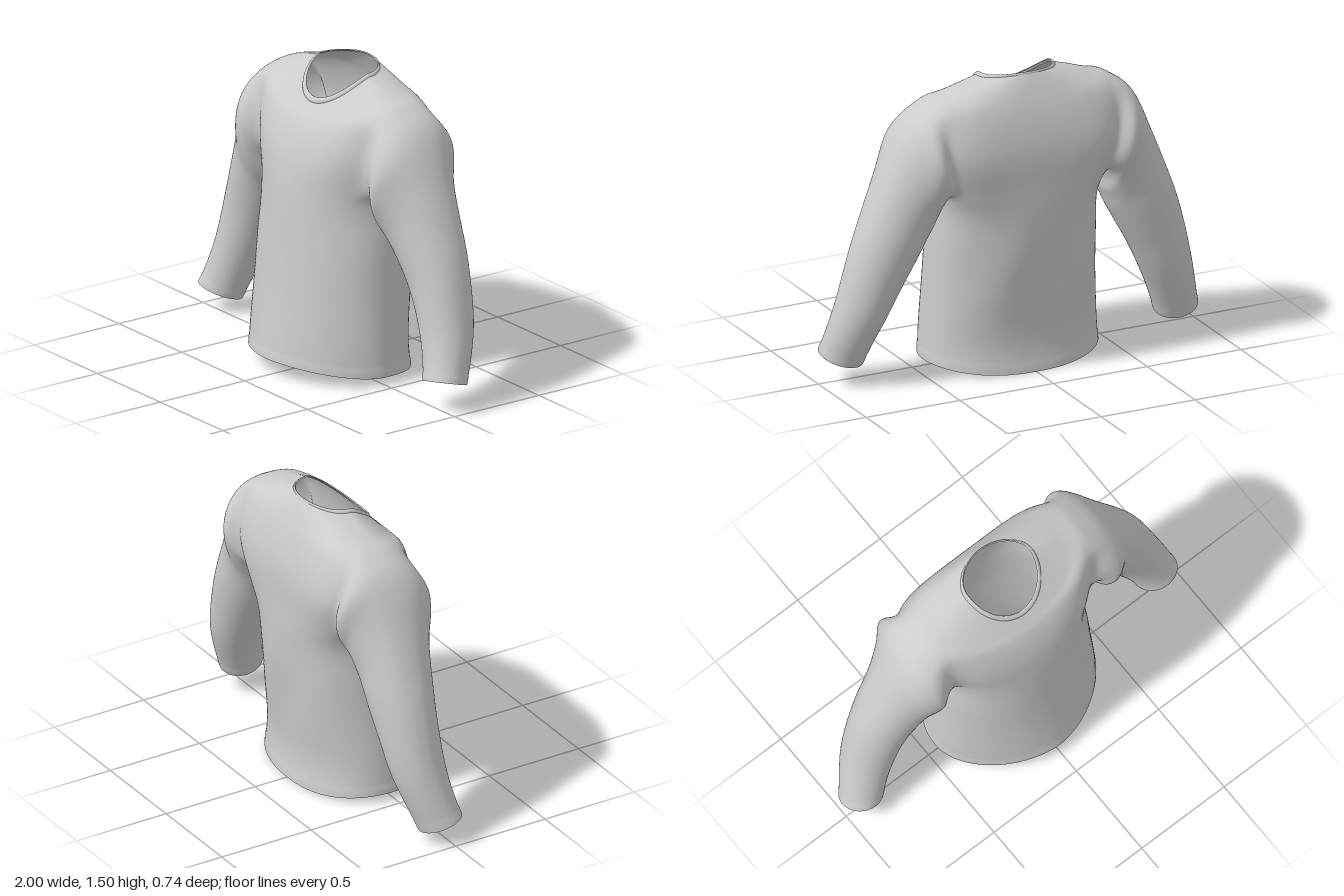
import * as THREE from 'three';

const cloth = new THREE.MeshStandardMaterial({ color: 0xcccccc, side: THREE.DoubleSide, roughness: 0.9 });
const V = (x, y, z) => new THREE.Vector3(x, y, z);
const power = (v, n) => Math.sign(v) * Math.pow(Math.abs(v), 2 / n);

// Body ring: half width, front z, back z, z of the widest point, heights at front / side / back,
// roundness of front and back, and how quickly the front drops
const bodyRing = ([w, zf, zb, zc, yf, ys, yb, nf = 2, nb = 2.3, drop = 2]) => (a) => {
  const c = Math.cos(a), s = Math.sin(a), n = s > 0 ? nf : nb;
  return V(w * power(c, n),
    ys + (s > 0 ? (yf - ys) * s ** drop : (yb - ys) * s * s),
    zc + (s > 0 ? zf - zc : zc - zb) * power(s, n));
};

// Sleeve ring: outer x, y, inner x, y, front z, back z, forward tilt
const sleevePoint = ([ox, oy, ix, iy, zf, zb, tilt = 0], side, a) => {
  const c = Math.cos(a), s = Math.sin(a);
  return V(side * ((ox + ix) / 2 + c * (ox - ix) / 2),
    (oy + iy) / 2 + c * (oy - iy) / 2 + s * tilt,
    (zf + zb) / 2 + s * (zf - zb) / 2);
};

const BODY = [ // hem up to the neck
  [0.45, 0.37, -0.32, 0, 0.085, 0.04, 0, 1.75],
  [0.445, 0.352, -0.306, 0, 0.2, 0.17, 0.15, 1.8],
  [0.43, 0.322, -0.33, -0.01, 0.4, 0.4, 0.4, 1.9],
  [0.42, 0.298, -0.355, -0.03, 0.62, 0.62, 0.62],
  [0.41, 0.282, -0.366, -0.05, 0.82, 0.82, 0.82, 2, 2.6],
  [0.425, 0.268, -0.368, -0.08, 0.95, 0.93, 0.95, 2.1, 3.4],
  [0.46, 0.238, -0.368, -0.09, 1.1, 1.1, 1.12, 2.4, 5.5],
  [0.485, 0.2, -0.35, -0.1, 1.2, 1.25, 1.23, 2.5, 4.5],
  [0.48, 0.165, -0.318, -0.1, 1.26, 1.378, 1.335, 2.4, 3.2],
  [0.39, 0.137, -0.284, -0.1, 1.29, 1.41, 1.41, 2.1, 2.6, 1.7],
  [0.29, 0.115, -0.256, -0.095, 1.313, 1.441, 1.462, 2, 2.2, 1.5],
  [0.2, 0.1, -0.238, -0.09, 1.328, 1.468, 1.491, 2, 2, 1.35],
];

const SLEEVE = [ // shoulder down to the cuff
  [0.565, 1.33, 0.435, 0.88, 0.138, -0.364],
  [0.635, 1.24, 0.458, 0.79, 0.15, -0.325],
  [0.71, 1.085, 0.498, 0.7, 0.095, -0.285],
  [0.805, 0.865, 0.555, 0.6, 0.06, -0.268],
  [0.88, 0.65, 0.62, 0.49, 0.042, -0.25],
  [0.942, 0.41, 0.7, 0.33, 0.045, -0.22],
  [0.978, 0.26, 0.748, 0.22, 0.06, -0.172, 0.015],
  [1.0, 0.157, 0.785, 0.115, 0.08, -0.125, 0.03],
];

const COLS = 96, STEP = 8, ROWS = STEP * (BODY.length - 1), SLEEVE_ROWS = 64;
const HOLE = 8, LOW = 5 * STEP, HIGH = 8 * STEP; // armhole half width in columns, bottom and top rows

// Evenly spaced points of a spline through one column of ring points
const column = (points, rows) => new THREE.CatmullRomCurve3(points).getPoints(rows);

// Quad as two triangles, reversed for the mirrored sleeve
function quad(idx, a, b, c, d, flip) {
  if (flip) idx.push(a, b, c, b, d, c);
  else idx.push(a, c, b, b, c, d);
}

// Body grid with an opening on each side for the sleeves
function addBody(pos) {
  const idx = [];
  const columns = Array.from({ length: COLS }, (_, j) =>
    column(BODY.map((r) => bodyRing(r)((j / COLS) * Math.PI * 2)), ROWS));
  for (let i = 0; i <= ROWS; i++) {
    for (let j = 0; j < COLS; j++) {
      const p = columns[j][i];
      const band = i <= 2 ? 1.006 : 1; // folded hem
      const back = Math.max(0, -Math.sin((j / COLS) * Math.PI * 2));
      const drape = 0.006 * back * Math.sin(p.x * 14 + p.y * 5) * Math.exp(-(((p.y - 0.55) / 0.25) ** 2));
      pos.push(V(p.x * band, p.y, p.z * band + drape));
      const m = j + 0.5;
      const side = Math.min(m, COLS - m, Math.abs(COLS / 2 - m));
      if (i === ROWS || (i >= LOW && i < HIGH && side < HOLE)) continue;
      const k = (j + 1) % COLS, b = i * COLS;
      quad(idx, b + j, b + k, b + COLS + j, b + COLS + k, false);
    }
  }
  return idx;
}

// Vertices round an armhole: up the front, over the top, down the back, under the arm
function armhole(side) {
  const loop = [];
  const at = (row, m) => loop.push(row * COLS + ((side > 0 ? m : COLS / 2 - m) + COLS) % COLS);
  for (let r = LOW; r < HIGH; r++) at(r, HOLE);
  for (let m = HOLE; m > -HOLE; m--) at(HIGH, m);
  for (let r = HIGH; r > LOW; r--) at(r, -HOLE);
  for (let m = -HOLE; m < HOLE; m++) at(LOW, m);
  return loop;
}

// Sleeve growing out of its armhole; the right one hangs slightly lower
function addSleeve(pos, side) {
  const idx = [], loop = armhole(side), n = loop.length;
  const box = new THREE.Box3().setFromPoints(loop.map((v) => pos[v]));
  const mid = box.getCenter(V(0, 0, 0)), size = box.getSize(V(0, 0, 0));
  const angles = loop.map((v) => Math.atan2((pos[v].z - mid.z) / size.z, (pos[v].y - mid.y) / size.y));
  const columns = loop.map((v, j) =>
    column([pos[v], ...SLEEVE.map((r) => sleevePoint(r, side, angles[j]))], SLEEVE_ROWS));
  let previous = loop;
  for (let i = 1; i <= SLEEVE_ROWS; i++) {
    const t = i / SLEEVE_ROWS, start = pos.length;
    const band = i >= SLEEVE_ROWS - 2 ? 0.002 : 0; // folded cuff
    for (let j = 0; j < n; j++) {
      const p = columns[j][i], c = Math.cos(angles[j]), s = Math.sin(angles[j]);
      // gathered cloth under the arm
      const fold = Math.sin(t * 38 - side) * Math.exp(-(((t - 0.22) / 0.1) ** 2)) * (1 - c) / 2;
      p.x += side * (0.009 * fold + band * c);
      p.z += (0.013 * fold + band) * s;
      if (side < 0) {
        p.y -= 0.042 * t * t;
        p.x += 0.03 * Math.sin(Math.PI * t) * t;
      }
      pos.push(p);
    }
    const next = loop.map((_, j) => start + j);
    for (let j = 0; j < n; j++) {
      const k = (j + 1) % n;
      quad(idx, previous[j], previous[k], next[j], next[k], side < 0);
    }
    previous = next;
  }
  return idx;
}

// Soften the cloth around the shoulders and armpits by averaging each vertex with its neighbours
function relaxShoulders(pos, idx, passes) {
  const near = pos.map(() => new Set());
  for (let i = 0; i < idx.length; i += 3) {
    const tri = idx.slice(i, i + 3);
    for (const a of tri) for (const b of tri) if (a !== b) near[a].add(b);
  }
  for (let pass = 0; pass < passes; pass++) {
    const old = pos.map((p) => p.clone());
    old.forEach((p, i) => {
      const strength = 0.6 * THREE.MathUtils.smoothstep(Math.abs(p.x), 0.28, 0.4) *
        THREE.MathUtils.smoothstep(p.y, 0.72, 0.86);
      if (strength === 0 || near[i].size === 0) return;
      const mean = V(0, 0, 0);
      near[i].forEach((k) => mean.add(old[k]));
      pos[i].lerp(mean.divideScalar(near[i].size), strength);
    });
  }
}

// Indexed geometry with smooth normals
function skin(pos, idx) {
  const g = new THREE.BufferGeometry().setFromPoints(pos);
  g.setIndex(idx);
  g.computeVertexNormals();
  return g;
}

export function createModel() {
  const shirt = new THREE.Group();
  shirt.name = 'longSleeveShirt';
  const add = (name, geometry) => {
    const m = new THREE.Mesh(geometry, cloth);
    m.name = name;
    shirt.add(m);
  };

  // Body and sleeves share their normals, so the shoulders run on smoothly
  const pos = [];
  const parts = { body: addBody(pos), leftSleeve: addSleeve(pos, 1), rightSleeve: addSleeve(pos, -1) };
  const all = Object.values(parts).flat();
  relaxShoulders(pos, all, 12);
  const whole = skin(pos, all);
  for (const [name, idx] of Object.entries(parts)) {
    add(name, whole.clone().setIndex(idx).toNonIndexed());
  }

  // Collar band around the neck opening
  const collar = [
    [0.204, 0.104, -0.241, -0.09, 1.324, 1.467, 1.487, 2, 2, 1.35],
    [0.199, 0.104, -0.24, -0.09, 1.337, 1.476, 1.494, 2, 2, 1.35],
    [0.19, 0.091, -0.236, -0.09, 1.35, 1.482, 1.498, 2, 2, 1.35],
    [0.185, 0.085, -0.231, -0.09, 1.348, 1.478, 1.493, 2, 2, 1.35],
  ].map(bodyRing);
  const rim = [], rimIdx = [], n = 72, rows = 9;
  for (let j = 0; j < n; j++) {
    rim.push(...column(collar.map((r) => r((j / n) * Math.PI * 2)), rows));
    for (let i = 0; i < rows; i++) {
      const a = j * (rows + 1) + i, b = ((j + 1) % n) * (rows + 1) + i;
      quad(rimIdx, a, b, a + 1, b + 1, false);
    }
  }
  add('collar', skin(rim, rimIdx));
  return shirt;
}
